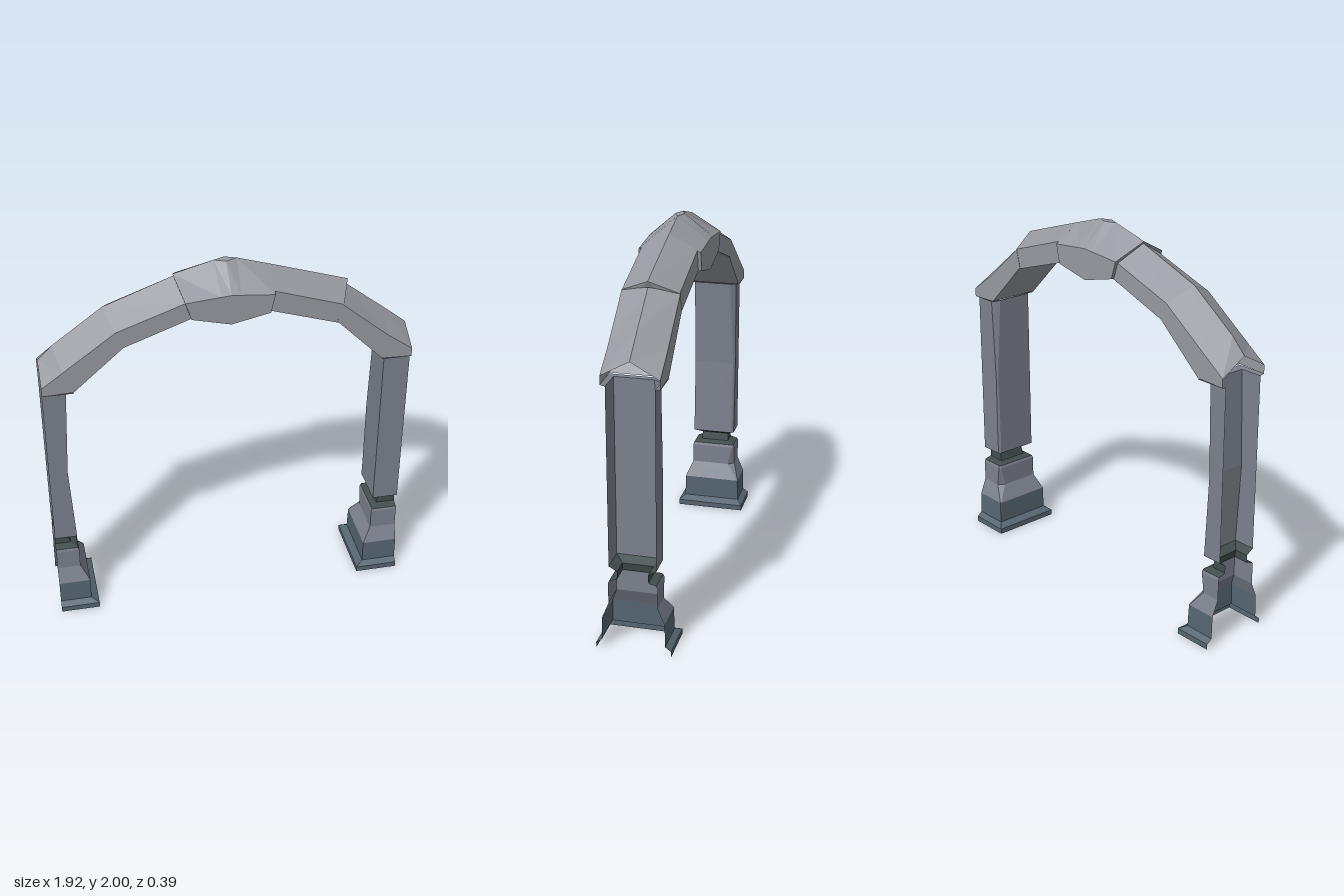
import * as THREE from 'three';

const paint = (color) => new THREE.MeshStandardMaterial({
  color, flatShading: true, side: THREE.DoubleSide,
});
const archStone = paint(0x96999f);
const postStone = paint(0x7c818d);
const plinthStone = paint(0x566671);
const neckStone = paint(0x424d4d);

// Skins a row of equal-length cross-sections with flat faces.
function loft(name, material, rings, { closed = false, capStart = false, capEnd = false, skip = () => false } = {}) {
  const pos = [];
  const tri = (a, b, c) => {
    const area = b.clone().sub(a).cross(c.clone().sub(a)).length();
    if (area > 1e-7) for (const p of [a, b, c]) pos.push(p.x, p.y, p.z);
  };
  const n = rings[0].length;
  for (let i = 0; i < rings.length - 1; i++) {
    for (let j = 0; j < (closed ? n : n - 1); j++) {
      if (skip(i, j)) continue;
      const k = (j + 1) % n;
      const a = rings[i][j], b = rings[i + 1][j], c = rings[i + 1][k], d = rings[i][k];
      tri(a, d, c);
      tri(a, c, b);
    }
  }
  const last = rings[rings.length - 1];
  for (let j = 1; j < n - 1; j++) {
    if (capStart) tri(rings[0][0], rings[0][j + 1], rings[0][j]);
    if (capEnd) tri(last[0], last[j], last[j + 1]);
  }
  const geometry = new THREE.BufferGeometry();
  geometry.setAttribute('position', new THREE.Float32BufferAttribute(pos, 3));
  geometry.computeVertexNormals();
  const mesh = new THREE.Mesh(geometry, material);
  mesh.name = name;
  return mesh;
}

const v = (x, y, z) => new THREE.Vector3(x, y, z);
const OUTER = 0.96;

// Three-sided post section, open at the outside, with a chipped back inner corner.
function postRing(side, [y, inner, hz, chip]) {
  const ring = [
    v(side * OUTER, y, hz),
    v(side * inner, y, hz),
    v(side * inner, y, -hz + chip),
    v(side * (inner + chip * 0.7), y, -hz),
    v(side * OUTER, y, -hz),
  ];
  return side > 0 ? ring.reverse() : ring;
}

// Five-sided arch section: ridge, shoulders and underside; w flattens the ridge.
function archRing([rx, ry, sx, sy, bx, by, hz, w = 0]) {
  return [
    v(rx, ry, w), v(sx, sy, hz), v(bx, by, hz),
    v(bx, by, -hz), v(sx, sy, -hz), v(rx, ry, -w),
  ];
}

export function createModel() {
  const group = new THREE.Group();
  group.name = 'archway';

  // Stepped pedestals: height, inner x, half depth, chip
  const pedestal = [
    [0, 0.75, 0.193, 0], [0.03, 0.75, 0.193, 0], [0.052, 0.79, 0.163, 0],
    [0.175, 0.79, 0.16, 0.005], [0.26, 0.835, 0.125, 0.035], [0.37, 0.835, 0.125, 0.012],
    [0.385, 0.84, 0.12, 0.01], [0.397, 0.875, 0.08, 0], [0.44, 0.885, 0.078, 0],
    [0.465, 0.84, 0.12, 0.015],
  ];
  // Shafts, ending in a lip that meets the arch
  const leftShaft = [
    [0.465, 0.82, 0.12, 0.012], [0.55, 0.82, 0.12, 0.015], [0.95, 0.82, 0.12, 0.01],
    [1.4, 0.82, 0.12, 0.04], [1.405, 0.8, 0.147, 0],
  ];
  const rightShaft = [
    [0.465, 0.84, 0.12, 0.015], [0.9, 0.862, 0.12, 0.012],
    [1.4, 0.838, 0.12, 0.03], [1.405, 0.8, 0.147, 0],
  ];
  for (const side of [1, -1]) {
    const label = side > 0 ? 'left' : 'right';
    const shift = side > 0 ? 0.02 : 0;
    const rings = pedestal.map(([y, x, z, c]) => postRing(side, [y, x - shift, z, c]));
    const shaft = side > 0 ? leftShaft : rightShaft;
    group.add(
      loft(label + 'Plinth', plinthStone, rings.slice(0, 4)),
      loft(label + 'Pedestal', postStone, rings.slice(3, 7)),
      loft(label + 'Neck', neckStone, rings.slice(6)),
      loft(label + 'Shaft', postStone, shaft.map((s) => postRing(side, s))),
    );
  }

  // Arch stones: ridge x y, shoulder x y, underside x y, half depth, ridge flat
  const rightSpringer = [
    [-0.96, 1.53, -0.96, 1.45, -0.96, 1.405, 0.145],
    [-0.88, 1.61, -0.85, 1.53, -0.8, 1.41, 0.145],
    [-0.62, 1.8, -0.575, 1.73, -0.54, 1.64, 0.145],
  ];
  const rightHaunch = [
    [-0.62, 1.8, -0.575, 1.73, -0.54, 1.64, 0.145],
    [-0.26, 1.935, -0.22, 1.855, -0.195, 1.765, 0.143],
  ];
  const keystone = [
    [-0.265, 1.945, -0.23, 1.862, -0.2, 1.768, 0.16],
    [-0.06, 2, -0.05, 1.878, -0.04, 1.728, 0.16],
    [0, 2, 0, 1.882, 0, 1.718, 0.16, 0.025],
    [0.06, 2, 0.05, 1.878, 0.04, 1.727, 0.16],
    [0.23, 1.948, 0.222, 1.862, 0.2, 1.762, 0.16],
  ];
  const leftHaunch = [
    [0.23, 1.948, 0.222, 1.872, 0.2, 1.764, 0.143],
    [0.635, 1.82, 0.58, 1.755, 0.555, 1.652, 0.143],
  ];
  const leftSpringer = [
    [0.63, 1.79, 0.575, 1.755, 0.55, 1.66, 0.145],
    [0.83, 1.635, 0.82, 1.55, 0.8, 1.41, 0.145],
    [0.96, 1.53, 0.96, 1.45, 0.96, 1.405, 0.145],
  ];
  const stone = (name, stations, options) =>
    group.add(loft(name, archStone, stations.map(archRing), { closed: true, ...options }));

  // Springers are hollow and open above the posts
  stone('rightSpringer', rightSpringer, { skip: (i, j) => i === 0 && j === 2 });
  stone('rightHaunch', rightHaunch);
  stone('keystone', keystone, { capStart: true, capEnd: true });
  stone('leftHaunch', leftHaunch, { capEnd: true });
  stone('leftSpringer', leftSpringer, { capStart: true, skip: (i, j) => i === 1 && j === 2 });

  return group;
}
